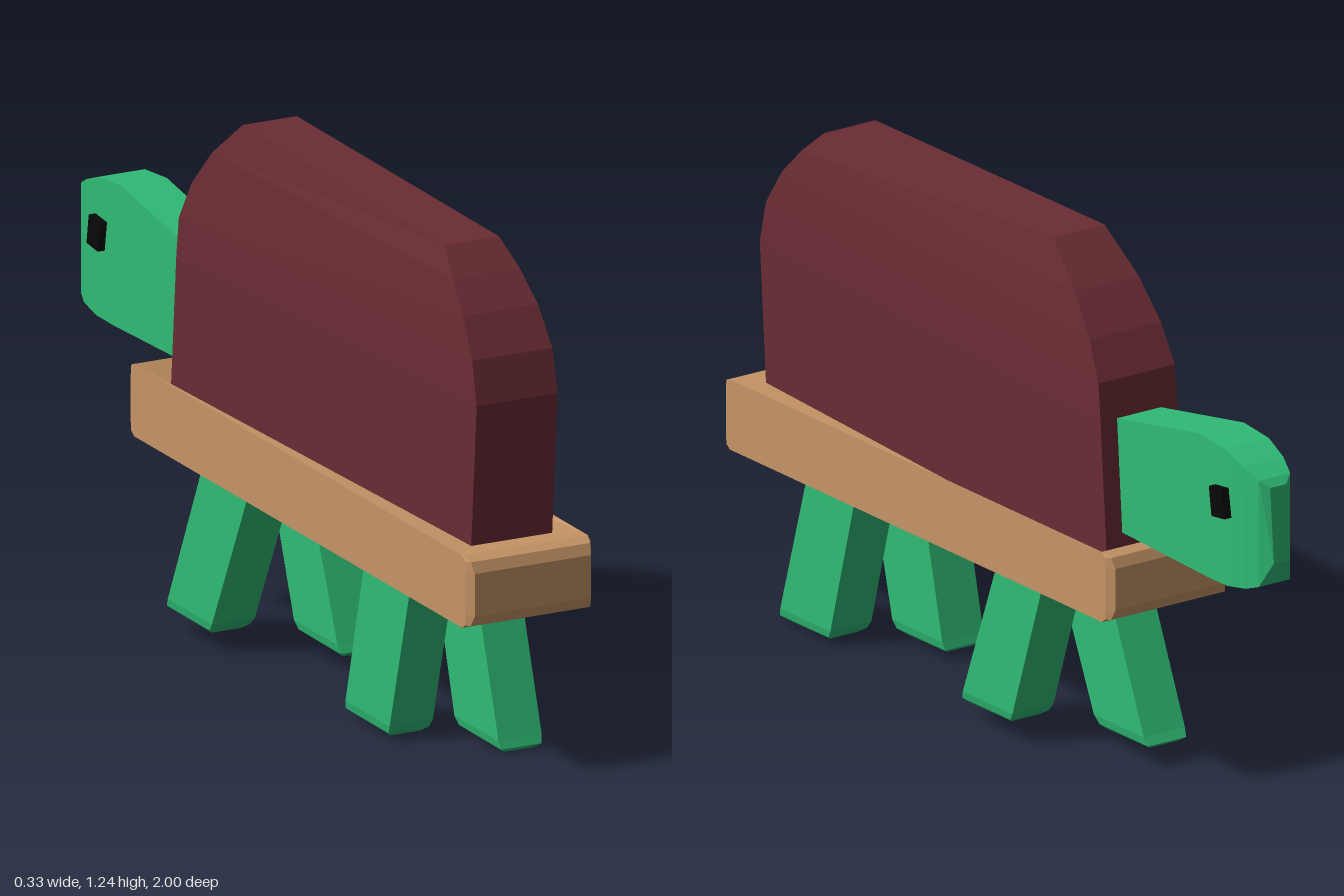
import * as THREE from 'three';

const mat = (color) => new THREE.MeshStandardMaterial({ color, flatShading: true });

// Rectangular cross-section between a front and a back [z, y] point, with optional chamfered corners.
function ring(x0, x1, f, b, cx = 0, cz = 0) {
  const len = Math.hypot(f[0] - b[0], f[1] - b[1]);
  const t = cz / len;
  const at = (x, s) => [x, f[1] + (b[1] - f[1]) * s, f[0] + (b[0] - f[0]) * s];
  if (!cx) return [at(x1, 0), at(x1, 1), at(x0, 1), at(x0, 0)];
  return [at(x1 - cx, 0), at(x1, t), at(x1, 1 - t), at(x1 - cx, 1),
    at(x0 + cx, 1), at(x0, 1 - t), at(x0, t), at(x0 + cx, 0)];
}

// Skin a row of cross-sections and close both ends.
function loft(name, rings, material) {
  const n = rings[0].length, pos = [];
  const tri = (a, b, c) => pos.push(...a, ...b, ...c);
  for (let i = 0; i < rings.length - 1; i++) {
    for (let j = 0; j < n; j++) {
      const k = (j + 1) % n, r = rings[i], s = rings[i + 1];
      tri(r[j], r[k], s[k]);
      tri(r[j], s[k], s[j]);
    }
  }
  const first = rings[0], last = rings[rings.length - 1];
  for (let j = 1; j < n - 1; j++) {
    tri(first[0], first[j + 1], first[j]);
    tri(last[0], last[j], last[j + 1]);
  }
  const g = new THREE.BufferGeometry();
  g.setAttribute('position', new THREE.Float32BufferAttribute(pos, 3));
  g.computeVertexNormals();
  const mesh = new THREE.Mesh(g, material);
  mesh.name = name;
  return mesh;
}

export function createModel() {
  const model = new THREE.Group();
  model.name = 'turtle';
  const green = mat(0x2fbb75), tan = mat(0xc59466), maroon = mat(0x6a2c34), black = mat(0x080808);

  // Rim: a tilted slab with rounded ends, its top sinking to the level foot of the shell
  const tilt = (z, h) => [z, 0.365 + h + 0.045 * (1 - z)];
  const levels = [[0, 0.965, -0.52, 0.0001], [0.01, 0.99, -0.545, 0.008], [0.035, 1, -0.555, 0.013],
    [0.135, 1, -0.555, 0.013], [0.16, 0.99, -0.545, 0.008], [0.17, 0.965, -0.52, 0.0001]];
  const rimRings = levels.map(([h, zf, zb, c]) => ring(-0.163, 0.163, tilt(zf, h), tilt(zb, h), c, c * 1.5));
  rimRings.push(ring(-0.105, 0.105, [0.905, 0.535], [-0.455, 0.535], 0.0001, 0.0001));
  model.add(loft('shellRim', rimRings, tan));

  // Shell: narrowing and shortening towards the flat top
  const shell = [
    [0.105, [0.905, 0.53], [-0.456, 0.53]],
    [0.105, [0.93, 0.87], [-0.43, 0.87]],
    [0.104, [0.908, 0.97], [-0.42, 0.965]],
    [0.097, [0.855, 1.06], [-0.375, 1.055]],
    [0.087, [0.79, 1.13], [-0.3, 1.145]],
    [0.07, [0.725, 1.19], [-0.19, 1.236]],
  ];
  model.add(loft('shell', shell.map(([w, f, b]) => ring(-w, w, f, b)), maroon));

  // Neck and head, sectioned from the shell to the snout
  const head = [
    [0.06, [-0.4, 0.868], [-0.4, 0.604]],
    [0.06, [-0.76, 0.945], [-0.79, 0.608]],
    [0.06, [-0.86, 0.94], [-0.87, 0.612]],
    [0.055, [-0.925, 0.917], [-0.935, 0.625]],
    [0.043, [-0.97, 0.895], [-0.97, 0.638]],
    [0.022, [-0.985, 0.878], [-1, 0.7]],
  ];
  model.add(loft('head', head.map(([w, f, b]) => ring(-w, w, f, b)), green));

  // Legs: slanted posts with softened feet; side, foot z range, foot height, top z range
  const legs = [
    ['rearLeftLeg', 1, 0.81, 0.61, 0, 0.69, 0.49],
    ['rearRightLeg', -1, 0.585, 0.385, 0.005, 0.69, 0.49],
    ['frontLeftLeg', 1, 0.083, -0.115, 0.037, -0.055, -0.25],
    ['frontRightLeg', -1, -0.225, -0.425, 0.037, -0.055, -0.25],
  ];
  for (const [name, side, f0, b0, y, f1, b1] of legs) {
    const x0 = side > 0 ? 0.026 : -0.138, x1 = x0 + 0.112;
    const e = 0.018, rise = 0.009, k = 0.03 / 0.37;
    const lean = (a, b) => a + (b - a) * k;
    model.add(loft(name, [
      ring(x0 + e, x1 - e, [f0 - e, y], [b0 + e, y + rise]),
      ring(x0 + 0.004, x1 - 0.004, [f0 - 0.003, y + 0.011], [b0 + 0.003, y + rise + 0.011]),
      ring(x0, x1, [lean(f0, f1), y + 0.03], [lean(b0, b1), y + rise + 0.03]),
      ring(x0, x1, [f1, 0.395], [b1, 0.435]),
    ], green));
  }

  // Eyes
  for (const side of [1, -1]) {
    const eye = new THREE.Mesh(new THREE.BoxGeometry(0.03, 0.07, 0.052), black);
    eye.name = side > 0 ? 'leftEye' : 'rightEye';
    eye.position.set(side * 0.063, 0.812, -0.853);
    eye.rotation.x = 0.15;
    model.add(eye);
  }
  return model;
}
